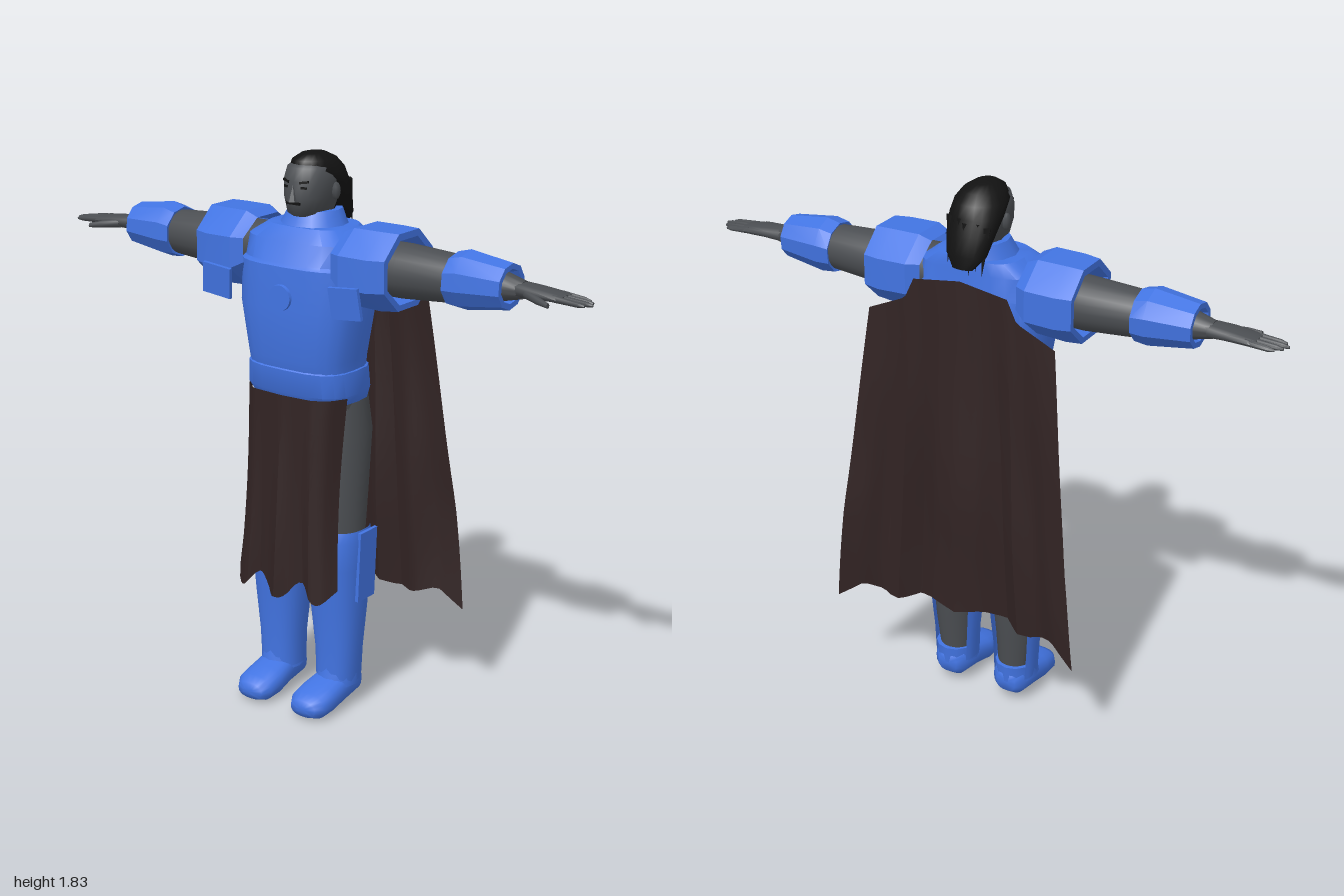
import * as THREE from 'three';
import { toCreasedNormals } from 'three/addons/utils/BufferGeometryUtils.js';

const mat = (name, color, side = THREE.FrontSide) => {
  const m = new THREE.MeshStandardMaterial({ color, side });
  m.name = name;
  return m;
};

// Maps (along, u, v) to x, y, z so that lofted faces point outward
const AXES = {
  y: (t, u, v) => [u, t, v],
  x: (t, u, v) => [t, v, u],
  z: (t, u, v) => [v, u, t],
};

// Loft through superellipse sections [along, u0, u1, v0, v1]
function loft(axis, sections, { seg = 20, p = 1, arc = null, turn = 0, caps = true } = {}) {
  const pos = [], idx = [], cols = arc ? seg + 1 : seg;
  const [from, to] = arc || [turn, turn + Math.PI * 2];
  const bend = (c) => Math.sign(c) * Math.abs(c) ** p;
  for (const [t, u0, u1, v0, v1] of sections) {
    for (let j = 0; j < cols; j++) {
      const a = from + ((to - from) * j) / seg;
      pos.push(...AXES[axis](t, (u0 + u1) / 2 + (bend(Math.cos(a)) * (u1 - u0)) / 2,
        (v0 + v1) / 2 + (bend(Math.sin(a)) * (v1 - v0)) / 2));
    }
  }
  for (let i = 0; i < sections.length - 1; i++) {
    for (let j = 0; j < seg; j++) {
      const a = i * cols + j, a2 = i * cols + ((j + 1) % cols);
      idx.push(a, a + cols, a2, a2, a + cols, a2 + cols);
    }
  }
  if (caps && !arc) {
    for (const i of [0, sections.length - 1]) {
      const [t, u0, u1, v0, v1] = sections[i], c = pos.length / 3;
      pos.push(...AXES[axis](t, (u0 + u1) / 2, (v0 + v1) / 2));
      for (let j = 0; j < seg; j++) {
        const a = i * cols + j, b = i * cols + ((j + 1) % cols);
        idx.push(c, ...(i ? [b, a] : [a, b]));
      }
    }
  }
  return indexed(pos, idx);
}

function indexed(pos, idx) {
  const g = new THREE.BufferGeometry();
  g.setAttribute('position', new THREE.Float32BufferAttribute(pos, 3));
  g.setIndex(idx);
  return g;
}

// Cloth sheet from a rule: u in -1..1, v in 0..1
function sheet(nu, nv, rule) {
  const pos = [], idx = [];
  for (let i = 0; i <= nv; i++)
    for (let j = 0; j <= nu; j++) pos.push(...rule((2 * j) / nu - 1, i / nv));
  for (let i = 0; i < nv; i++)
    for (let j = 0; j < nu; j++) {
      const a = i * (nu + 1) + j, b = a + nu + 1;
      idx.push(a, b, a + 1, a + 1, b, b + 1);
    }
  return indexed(pos, idx);
}

function mirrored(geo) {
  const g = geo.clone().scale(-1, 1, 1), ix = g.index.array;
  for (let i = 0; i < ix.length; i += 3) [ix[i], ix[i + 1]] = [ix[i + 1], ix[i]];
  return g;
}

// Piecewise linear lookup in [[x, y], ...]
function along(points, x) {
  for (let i = 1; i < points.length; i++) {
    const [x0, y0] = points[i - 1], [x1, y1] = points[i];
    if (x <= x1) return y0 + ((y1 - y0) * (x - x0)) / (x1 - x0);
  }
  return points[points.length - 1][1];
}

// Symmetric section about x = 0
const S = (y, rx, z0, z1) => [y, -rx, rx, z0, z1];

export function createModel() {
  const model = new THREE.Group();
  const blue = mat('armour blue', 0x4274e2);
  const blueShell = mat('armour blue shell', 0x4274e2, THREE.DoubleSide);
  const grey = mat('suit grey', 0x4b4e52);
  const black = mat('hair black', 0x121212);
  const brown = mat('cloth brown', 0x312323, THREE.DoubleSide);

  const add = (name, geo, material, crease = 0.6) => {
    const mesh = new THREE.Mesh(toCreasedNormals(geo, crease), material);
    mesh.name = name;
    model.add(mesh);
  };
  const pair = (name, geo, material, crease) => {
    add('left' + name, geo, material, crease);
    add('right' + name, mirrored(geo), material, crease);
  };

  // Torso armour
  add('hips', loft('y', [S(0.95, 0.17, -0.11, 0.08), S(1.1, 0.18, -0.1, 0.12)], { p: 0.8 }), grey);
  add('belt', loft('y', [S(1.06, 0.185, -0.11, 0.135), S(1.09, 0.195, -0.115, 0.155),
    S(1.165, 0.19, -0.11, 0.16), S(1.175, 0.175, -0.1, 0.15)], { p: 0.65 }), blue);
  add('breastplate', loft('y', [S(1.165, 0.185, -0.1, 0.155), S(1.2, 0.187, -0.105, 0.163),
    S(1.36, 0.215, -0.115, 0.17), S(1.495, 0.215, -0.12, 0.162), S(1.505, 0.205, -0.118, 0.152),
    S(1.57, 0.2, -0.115, 0.135), S(1.61, 0.14, -0.11, 0.1)], { p: 0.65, seg: 24 }), blue);
  add('collar', loft('y', [S(1.58, 0.13, -0.115, 0.11), S(1.625, 0.1, -0.105, 0.09),
    S(1.655, 0.085, -0.1, 0.075), S(1.655, 0.065, -0.08, 0.055), S(1.61, 0.06, -0.07, 0.05)],
  { seg: 12, caps: false }), blueShell);
  add('chestDisc', new THREE.CylinderGeometry(0.04, 0.042, 0.012, 24).rotateX(Math.PI / 2)
    .translate(0, 1.4, 0.169), blue);

  // Head and face
  add('head', loft('y', [S(1.58, 0.055, -0.07, 0.04), S(1.635, 0.045, -0.07, 0.075),
    S(1.65, 0.058, -0.075, 0.1), S(1.7, 0.075, -0.09, 0.105), S(1.75, 0.08, -0.09, 0.1),
    S(1.79, 0.07, -0.08, 0.088), S(1.815, 0.035, -0.04, 0.05)], { p: 0.9 }), grey, 1.2);
  add('nose', new THREE.ConeGeometry(0.016, 0.05, 6).scale(1, 1, 1.3).translate(0, 1.715, 0.104), grey);
  add('moustache', new THREE.BoxGeometry(0.05, 0.008, 0.009).translate(0, 1.684, 0.101), black);
  pair('Eyebrow', new THREE.BoxGeometry(0.03, 0.007, 0.009).rotateY(0.35).rotateZ(0.15)
    .translate(0.033, 1.75, 0.091), black);
  pair('Eye', new THREE.BoxGeometry(0.02, 0.007, 0.009).rotateY(0.35).translate(0.033, 1.733, 0.092), black);
  pair('Ear', new THREE.SphereGeometry(1, 8, 6).scale(0.012, 0.028, 0.018).translate(0.08, 1.715, -0.01), grey, 2);
  add('hair', loft('y', [S(1.59, 0.035, -0.148, -0.125), S(1.63, 0.068, -0.148, -0.075),
    S(1.69, 0.08, -0.138, -0.03), S(1.74, 0.087, -0.122, 0.02), S(1.78, 0.083, -0.112, 0.075),
    S(1.81, 0.062, -0.085, 0.075), S(1.828, 0.034, -0.045, 0.045), S(1.832, 0.01, -0.01, 0.015)]), black, 1.2);
  // Loose locks down the neck
  for (let i = -3; i <= 3; i++) {
    add('hairLock', new THREE.ConeGeometry(0.017, 0.15, 5).rotateX(Math.PI + 0.2)
      .translate(i * 0.02, 1.655 + 0.01 * (i % 2), -0.128 + Math.abs(i) * 0.006), black);
  }

  // Arms: sections are [x, back, front, bottom, top]
  pair('Arm', loft('x', [[0.16, -0.08, 0.09, 1.42, 1.59], [0.36, -0.085, 0.085, 1.42, 1.59],
    [0.55, -0.07, 0.075, 1.435, 1.58], [0.7, -0.045, 0.05, 1.465, 1.555],
    [0.77, -0.032, 0.035, 1.482, 1.535]]), grey, 1);
  const octagon = { seg: 8, turn: Math.PI / 8 };
  pair('ShoulderPad', loft('x', [[0.17, -0.12, 0.15, 1.42, 1.62], [0.21, -0.145, 0.17, 1.38, 1.64],
    [0.31, -0.145, 0.165, 1.375, 1.64], [0.365, -0.135, 0.145, 1.38, 1.638],
    [0.365, -0.115, 0.125, 1.4, 1.615], [0.28, -0.09, 0.09, 1.42, 1.59]],
  { ...octagon, caps: false }), blueShell, 0.3);
  pair('PadFlap', new THREE.BoxGeometry(0.11, 0.1, 0.012).rotateZ(0.1).rotateX(0.1)
    .translate(0.25, 1.42, 0.172), blue);
  pair('ForearmGuard', loft('x', [[0.54, -0.07, 0.075, 1.435, 1.58], [0.535, -0.085, 0.09, 1.425, 1.59],
    [0.58, -0.09, 0.092, 1.42, 1.602], [0.725, -0.072, 0.076, 1.442, 1.582],
    [0.725, -0.055, 0.06, 1.46, 1.565], [0.69, -0.045, 0.05, 1.47, 1.555]],
  { ...octagon, seg: 10, caps: false }), blueShell, 0.3);
  pair('Palm', loft('x', [[0.74, -0.032, 0.035, 1.485, 1.535], [0.82, -0.042, 0.048, 1.492, 1.528],
    [0.89, -0.043, 0.045, 1.493, 1.52], [0.91, -0.038, 0.04, 1.497, 1.515]], { seg: 12, p: 0.8 }), grey, 1);
  [0.97, 0.99, 1.0, 0.985].forEach((tip, i) => {
    const z = -0.031 + i * 0.0215;
    pair('Finger', loft('x', [[0.88, z - 0.01, z + 0.01, 1.496, 1.518],
      [tip - 0.02, z - 0.009, z + 0.009, 1.493, 1.51], [tip, z - 0.004, z + 0.004, 1.496, 1.504]],
    { seg: 8 }), grey, 1);
  });
  pair('Thumb', loft('x', [[0.79, 0.015, 0.045, 1.492, 1.52], [0.85, 0.047, 0.072, 1.488, 1.512],
    [0.89, 0.066, 0.083, 1.487, 1.503]], { seg: 8 }), grey, 1);

  // Legs: sections are [y, inner, outer, back, front]
  pair('Leg', loft('y', [[0.08, 0.06, 0.165, -0.045, 0.06], [0.25, 0.05, 0.185, -0.06, 0.07],
    [0.42, 0.035, 0.195, -0.075, 0.08], [0.6, 0.025, 0.2, -0.07, 0.095], [0.75, 0.008, 0.2, -0.095, 0.1],
    [0.95, 0.002, 0.195, -0.125, 0.09], [1.08, 0.005, 0.18, -0.11, 0.08]]), grey, 1);
  pair('Greave', loft('y', [[0.09, 0.045, 0.185, -0.06, 0.085], [0.2, 0.04, 0.192, -0.06, 0.085],
    [0.36, 0.025, 0.205, -0.075, 0.1], [0.5, 0.016, 0.212, -0.085, 0.112],
    [0.6, 0.014, 0.218, -0.085, 0.12], [0.635, 0.018, 0.212, -0.08, 0.11]],
  { p: 0.85, arc: [-0.2 * Math.PI, 1.2 * Math.PI] }), blueShell);
  pair('KneePlate', new THREE.BoxGeometry(0.012, 0.24, 0.09).rotateZ(-0.04).translate(0.214, 0.51, 0), blue);

  // Boots: sections are [z, bottom, top, inner, outer]
  pair('Boot', loft('z', [[-0.06, 0.045, 0.11, 0.08, 0.15], [-0.035, 0.025, 0.135, 0.055, 0.175],
    [0.05, 0.015, 0.12, 0.05, 0.18], [0.12, 0.003, 0.1, 0.04, 0.183], [0.175, 0, 0.085, 0.043, 0.18],
    [0.205, 0.012, 0.068, 0.062, 0.16], [0.213, 0.03, 0.05, 0.09, 0.135]], { p: 0.8 }), blue, 0.9);
  pair('BootCuff', loft('y', [[0.08, 0.045, 0.188, -0.062, 0.1], [0.14, 0.048, 0.186, -0.066, 0.085]],
    { seg: 12 }), blue);

  // Cape: raised centre panel, valleys beside it and flared wings
  const capeFold = [[0, -0.205], [0.18, -0.19], [0.36, -0.14], [0.5, -0.185], [0.66, -0.16], [0.82, -0.2], [1, -0.22]];
  const capeTop = [[0, 1.555], [0.5, 1.53], [0.6, 1.46], [1, 1.4]];
  const capeHem = [[0, 0.4], [0.2, 0.42], [0.45, 0.38], [0.6, 0.37], [0.8, 0.4], [0.92, 0.36], [1, 0.335]];
  add('cape', sheet(44, 16, (u, v) => {
    const a = Math.abs(u), top = along(capeTop, a);
    const y = top + (along(capeHem, a) - top) * v;
    const fold = Math.min(1, v * 1.5);
    const z = -0.155 * (1 - fold) + along(capeFold, a) * fold + 0.006 * Math.sin(v * 9 + u * 4) * v;
    return [u * (0.33 + 0.12 * v), y, z];
  }), brown, 0.5);

  // Front waist cloth with a centre ridge and a scalloped hem
  const clothFold = [[0, 0.205], [0.2, 0.175], [0.45, 0.16], [0.65, 0.185], [0.85, 0.165], [1, 0.125]];
  const clothTop = [[0, 0.168], [0.6, 0.16], [0.85, 0.13], [1, 0.075]];
  add('waistCloth', sheet(32, 12, (u, v) => {
    const a = Math.abs(u);
    const hem = 0.44 + 0.03 * Math.cos(a * 9 + 2.6);
    const z = along(clothTop, a) * (1 - v) + along(clothFold, a) * v + 0.012 * v;
    return [u * (0.19 + 0.01 * v - 0.012 * Math.sin(v * Math.PI)), 1.085 + (hem - 1.085) * v, z];
  }), brown, 0.5);

  return model;
}
